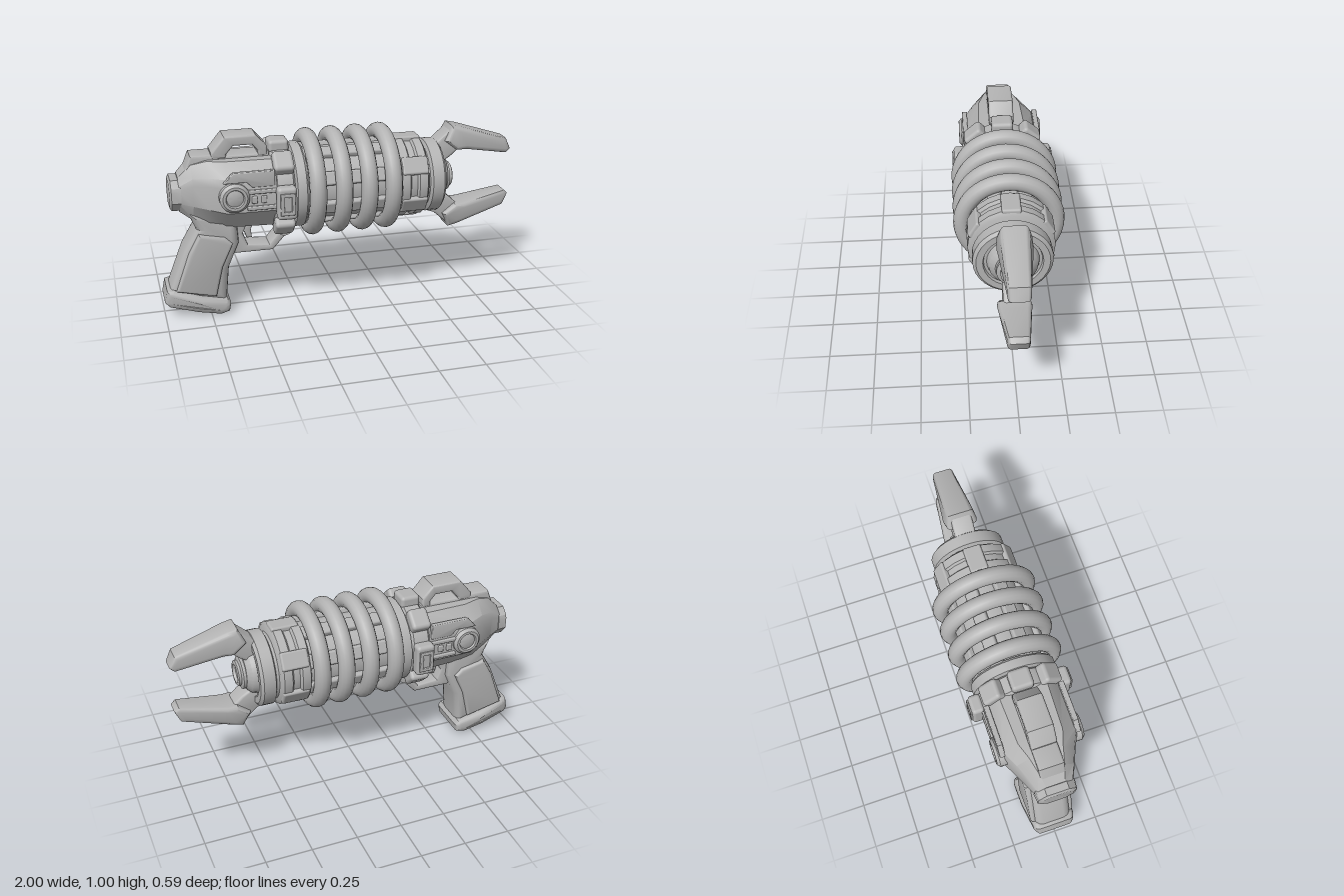
import * as THREE from 'three';
import { toCreasedNormals } from 'three/addons/utils/BufferGeometryUtils.js';
import { RoundedBoxGeometry } from 'three/addons/geometries/RoundedBoxGeometry.js';

const AXIS = 0.685; // height of the barrel axis

export function createModel() {
  const grey = new THREE.MeshStandardMaterial({ color: 0xb4b4b4 });
  grey.name = 'plain grey';
  const model = new THREE.Group();
  model.name = 'coilPistol';

  const add = (name, geometry, x = 0, y = 0, z = 0, parent = model) => {
    const mesh = new THREE.Mesh(geometry, grey);
    mesh.name = name;
    mesh.position.set(x, y, z);
    parent.add(mesh);
    return mesh;
  };

  // Turned part along x; profile is [x, radius] pairs
  const turned = (name, profile, segments, y = AXIS) => {
    const g = new THREE.LatheGeometry(profile.map(([x, r]) => new THREE.Vector2(r, x)), segments);
    g.rotateZ(-Math.PI / 2);
    return add(name, toCreasedNormals(g, 0.6), 0, y, 0);
  };

  // Side outline extruded across z with soft edges; width(x, y) scales z
  const slab = (name, outline, half, bevel, z = 0, width = null, hole = null) => {
    const shape = new THREE.Shape(outline.map(([x, y]) => new THREE.Vector2(x, y)));
    if (hole) shape.holes.push(new THREE.Path(hole.map(([x, y]) => new THREE.Vector2(x, y))));
    const depth = 2 * (half - bevel);
    const g = new THREE.ExtrudeGeometry(shape, {
      depth, bevelEnabled: true, bevelThickness: bevel, bevelSize: bevel, bevelOffset: -bevel, bevelSegments: 3,
    });
    g.translate(0, 0, -depth / 2);
    if (width) {
      const p = g.attributes.position;
      for (let i = 0; i < p.count; i++) p.setZ(i, p.getZ(i) * width(p.getX(i), p.getY(i)));
    }
    return add(name, toCreasedNormals(g, 0.6), 0, 0, z);
  };

  // Chamfered sections lofted along x: [x, bottom, top, halfWidth, topHalfWidth, bottomHalfWidth]
  const loft = (name, sections) => {
    const rings = sections.map(([x, b, t, w, tw, bw]) => {
      const h = t - b;
      return [[t, -tw], [t, tw], [t - h * 0.2, w * 0.94], [t - h * 0.32, w], [b + h * 0.32, w], [b, bw],
        [b, -bw], [b + h * 0.32, -w], [t - h * 0.32, -w], [t - h * 0.2, -w * 0.94]].map(([y, z]) => [x, y, z]);
    });
    const n = 10, index = [], last = (rings.length - 1) * n;
    for (let i = 0; i < rings.length - 1; i++) {
      for (let j = 0; j < n; j++) {
        const a = i * n + j, b = i * n + (j + 1) % n;
        index.push(a, b, b + n, a, b + n, a + n);
      }
    }
    for (let j = 1; j < n - 1; j++) index.push(0, j + 1, j, last, last + j, last + j + 1);
    const g = new THREE.BufferGeometry();
    g.setAttribute('position', new THREE.Float32BufferAttribute(rings.flat(2), 3));
    g.setIndex(index);
    return add(name, toCreasedNormals(g, 0.5));
  };

  // Blocks spaced round the barrel axis, each at an angle from straight up
  const radial = (name, angles, x, radius, size, round) => {
    for (const a of angles) {
      const block = add(name, new RoundedBoxGeometry(...size, 2, round),
        x, AXIS + Math.cos(a) * radius, Math.sin(a) * radius);
      block.rotation.x = a;
    }
  };
  const around = (n, offset = 0) => Array.from({ length: n }, (_, i) => ((i + offset) / n) * Math.PI * 2);

  // Receiver
  loft('receiver', [
    [-0.89, 0.60, 0.79, 0.10, 0.05, 0.05],
    [-0.82, 0.55, 0.86, 0.13, 0.07, 0.07],
    [-0.74, 0.52, 0.88, 0.165, 0.09, 0.09],
    [-0.65, 0.50, 0.88, 0.21, 0.12, 0.09],
    [-0.39, 0.50, 0.88, 0.215, 0.13, 0.11],
  ]);
  loft('rearCap', [
    [-0.94, 0.625, 0.765, 0.085, 0.05, 0.05],
    [-0.93, 0.61, 0.78, 0.105, 0.06, 0.06],
    [-0.88, 0.61, 0.78, 0.11, 0.06, 0.06],
  ]);
  slab('topRail', [[-0.87, 0.78], [-0.82, 0.905], [-0.72, 0.905], [-0.66, 0.895], [-0.40, 0.895], [-0.40, 0.78]], 0.068, 0.012);
  slab('topHandle', [[-0.71, 0.88], [-0.71, 0.915], [-0.64, 1.0], [-0.47, 1.0], [-0.41, 0.93], [-0.41, 0.88],
    [-0.46, 0.88], [-0.46, 0.91], [-0.49, 0.945], [-0.59, 0.945], [-0.63, 0.90], [-0.63, 0.88]], 0.07, 0.012);

  // Side details
  for (const s of [1, -1]) {
    const dial = [[0, 0.08], [0.05, 0.08], [0.065, 0.065], [0.065, 0.05], [0.055, 0.045], [0.06, 0.03], [0.062, 0]];
    const g = new THREE.LatheGeometry(dial.map(([h, r]) => new THREE.Vector2(r, h)), 24);
    g.rotateX(s * Math.PI / 2);
    add('sideDial', toCreasedNormals(g, 0.6), -0.615, 0.71, s * 0.175);
    slab('sidePlate', [[-0.67, 0.79], [-0.62, 0.845], [-0.40, 0.845], [-0.40, 0.76], [-0.52, 0.76], [-0.55, 0.79]], 0.015, 0.006, s * 0.205);
    for (const y of [0.735, 0.645]) add('slotRail', new RoundedBoxGeometry(0.16, 0.022, 0.03, 2, 0.006), -0.47, y, s * 0.212);
    for (const x of [-0.51, -0.46]) add('slotStud', new RoundedBoxGeometry(0.03, 0.04, 0.03, 2, 0.006), x, 0.69, s * 0.208);
    // Clamp blocks on the flanks
    add('clampBlock', new RoundedBoxGeometry(0.105, 0.18, 0.07, 3, 0.02), -0.345, 0.67, s * 0.242);
    slab('clampFrame', [[-0.385, 0.61], [-0.385, 0.73], [-0.305, 0.73], [-0.305, 0.61]], 0.008, 0.004, s * 0.278, null,
      [[-0.365, 0.63], [-0.325, 0.63], [-0.325, 0.71], [-0.365, 0.71]]);
  }

  // Clamp ring and the collar behind the coils
  turned('clampRing', [[-0.40, 0], [-0.40, 0.205], [-0.385, 0.225], [-0.30, 0.225], [-0.285, 0.205], [-0.285, 0]], 24);
  radial('clampLug', [0, 0.72, -0.72, 2.4, -2.4], -0.345, 0.235, [0.11, 0.07, 0.12], 0.02);
  turned('rearCollar', [[-0.29, 0], [-0.29, 0.205], [-0.28, 0.235], [-0.23, 0.235], [-0.215, 0.22], [-0.215, 0]], 24);

  // Barrel core, rails and coils
  turned('barrelCore', [[-0.24, 0], [-0.24, 0.2], [0.32, 0.2], [0.32, 0]], 32);
  radial('coreRail', around(8, 0.5), 0.035, 0.2, [0.53, 0.05, 0.075], 0.012);
  for (const x of [-0.175, -0.032, 0.108, 0.243]) {
    const g = new THREE.TorusGeometry(0.25, 0.046, 14, 48);
    g.rotateY(Math.PI / 2);
    add('coil', g, x, 0.693, 0);
  }

  // Muzzle
  turned('muzzleCollar', [[0.29, 0], [0.29, 0.21], [0.30, 0.232], [0.345, 0.232], [0.355, 0.215], [0.39, 0.215],
    [0.40, 0.228], [0.445, 0.228], [0.46, 0.205], [0.46, 0]], 24);
  radial('muzzlePad', around(6), 0.377, 0.212, [0.15, 0.045, 0.1], 0.012);
  turned('muzzleDisc', [[0.45, 0], [0.45, 0.185], [0.475, 0.185], [0.485, 0.207], [0.55, 0.207], [0.565, 0.19],
    [0.565, 0.155], [0.55, 0.15], [0.55, 0.135], [0.585, 0.125], [0.61, 0.095], [0.61, 0]], 32, 0.675);
  turned('nozzle', [[0.59, 0], [0.59, 0.09], [0.625, 0.09], [0.632, 0.07], [0.645, 0.07], [0.65, 0.062],
    [0.65, 0.052], [0.635, 0.045], [0.635, 0]], 24, 0.665);

  // Claws, mirrored above and below the nozzle
  for (const s of [1, -1]) {
    const mirror = (pts) => pts.map(([x, y]) => [x, 0.665 + s * y]);
    slab('clawArm', mirror([[0.48, 0.10], [0.48, 0.185], [0.55, 0.21], [0.63, 0.28], [0.69, 0.17], [0.635, 0.12], [0.58, 0.085]]),
      0.058, 0.014);
    slab('claw', mirror([[0.595, 0.215], [0.635, 0.30], [0.69, 0.288], [0.97, 0.2], [1.0, 0.135], [0.975, 0.112], [0.72, 0.16], [0.665, 0.16]]),
      0.092, 0.025, 0, (x, y) => {
        const taper = 1 - 0.42 * THREE.MathUtils.clamp((x - 0.66) / 0.34, 0, 1);
        return taper * (1 - 0.25 * THREE.MathUtils.clamp((Math.abs(y - 0.665) - 0.2) / 0.1, 0, 1));
      });
  }

  // Grip
  slab('grip', [[-0.85, 0.6], [-0.81, 0.50], [-0.88, 0.38], [-0.97, 0.15], [-0.66, 0.06], [-0.64, 0.26],
    [-0.58, 0.40], [-0.59, 0.56]], 0.105, 0.045);
  for (const s of [1, -1]) {
    slab('gripPanel', [[-0.80, 0.48], [-0.86, 0.37], [-0.935, 0.16], [-0.72, 0.11], [-0.68, 0.28], [-0.62, 0.41], [-0.66, 0.45]],
      0.025, 0.016, s * 0.1);
  }
  slab('gripBase', [[-1.0, 0.09], [-0.985, 0.16], [-0.95, 0.165], [-0.80, 0.11], [-0.66, 0.085], [-0.642, 0.06],
    [-0.65, 0.015], [-0.70, 0.0], [-0.82, 0.025], [-0.975, 0.065]], 0.135, 0.03, 0,
    (x) => 1 - 0.2 * THREE.MathUtils.clamp((-0.9 - x) / 0.1, 0, 1));

  // Trigger guard, trigger and front pivot
  slab('triggerGuard', [[-0.64, 0.54], [-0.62, 0.345], [-0.60, 0.33], [-0.39, 0.33], [-0.30, 0.43], [-0.28, 0.54]], 0.062, 0.012, 0, null,
    [[-0.53, 0.50], [-0.555, 0.44], [-0.53, 0.375], [-0.41, 0.365], [-0.365, 0.42], [-0.37, 0.50]]);
  slab('trigger', [[-0.53, 0.52], [-0.47, 0.52], [-0.505, 0.45], [-0.50, 0.40], [-0.53, 0.40], [-0.545, 0.45]], 0.022, 0.006);
  const pivot = new THREE.CylinderGeometry(0.042, 0.042, 0.15, 20);
  pivot.rotateX(Math.PI / 2);
  add('guardPivot', toCreasedNormals(pivot, 0.6), -0.325, 0.455, 0);
  return model;
}
